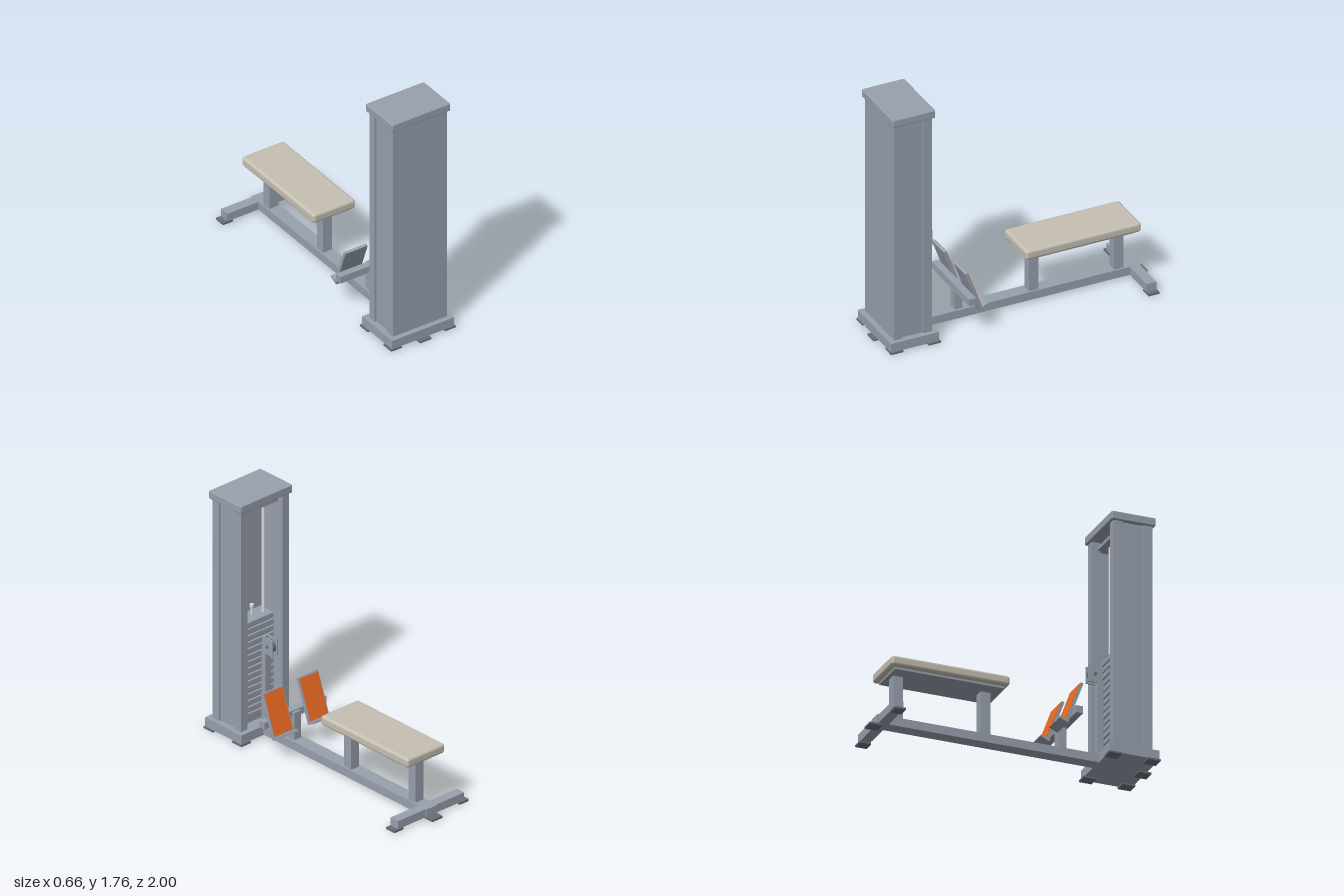
import * as THREE from 'three';
import { RoundedBoxGeometry } from 'three/addons/geometries/RoundedBoxGeometry.js';

const mat = (name, color) => new THREE.MeshStandardMaterial({ name, color });

export function createModel() {
  const steel = mat('steel grey', 0x98a0ad);
  const dark = mat('dark grey', 0x676d77);
  const chrome = mat('chrome', 0xd8dce0);
  const cream = mat('cream upholstery', 0xc6bfb2);
  const orange = mat('orange tread', 0xec6a22);
  const root = new THREE.Group();
  root.name = 'seatedRowMachine';

  const add = (name, geo, m, parent = root) => {
    const mesh = new THREE.Mesh(geo, m);
    mesh.name = name;
    parent.add(mesh);
    return mesh;
  };
  // Box given by its extents on each axis, optionally rounded
  const box = (name, m, [x0, x1], [y0, y1], [z0, z1], r = 0, parent = root) => {
    const s = [x1 - x0, y1 - y0, z1 - z0];
    const g = r ? new RoundedBoxGeometry(...s, 3, r) : new THREE.BoxGeometry(...s);
    g.translate((x0 + x1) / 2, (y0 + y1) / 2, (z0 + z1) / 2);
    return add(name, g, m, parent);
  };
  // The same box on both sides of the machine
  const pair = (name, m, [x0, x1], y, z) => {
    box(name + 'Left', m, [x0, x1], y, z);
    box(name + 'Right', m, [-x1, -x0], y, z);
  };
  const rod = (name, m, r, x, y0, y1, z) => {
    const g = new THREE.CylinderGeometry(r, r, y1 - y0, 16);
    g.translate(x, (y0 + y1) / 2, z);
    return add(name, g, m);
  };

  // Base frame
  box('towerBase', steel, [-0.245, 0.245], [0.012, 0.078], [0.62, 0.97]);
  box('mainBeam', steel, [-0.048, 0.048], [0.015, 0.075], [-0.95, 0.62]);
  box('rearCrossbar', steel, [-0.295, 0.295], [0.015, 0.074], [-0.94, -0.868]);

  // Floor feet
  pair('towerFrontFoot', dark, [0.17, 0.255], [0, 0.012], [0.885, 0.975]);
  pair('towerRearFoot', dark, [0.17, 0.255], [0, 0.012], [0.61, 0.7]);
  pair('rearFoot', dark, [0.25, 0.33], [0, 0.015], [-0.945, -0.865]);
  box('frontCentreFoot', dark, [-0.045, 0.045], [0, 0.012], [0.91, 1]);
  box('rearCentreFoot', dark, [-0.045, 0.045], [0, 0.015], [-1, -0.91]);

  // Tower shell, open at the back
  box('frontPanel', steel, [-0.213, 0.213], [0.075, 1.7], [0.87, 0.932]);
  pair('sidePanel', steel, [0.18, 0.2], [0.075, 1.7], [0.72, 0.87]);
  pair('rearPost', steel, [0.155, 0.213], [0.075, 1.7], [0.658, 0.72]);
  box('towerCap', steel, [-0.23, 0.23], [1.698, 1.757], [0.64, 0.95], 0.008);
  box('topRail', steel, [-0.18, 0.18], [1.64, 1.665], [0.7, 0.87]);

  // Weight stack with guide rods and selector
  const plates = 15, pitch = 0.048;
  for (let i = 0; i < plates; i++) {
    const y = 0.11 + i * pitch;
    box('weightPlate' + (i + 1), steel, [-0.13, 0.13], [y, y + pitch - 0.004], [0.71, 0.84], 0.008);
  }
  box('stackCore', steel, [-0.12, 0.12], [0.075, 0.82], [0.72, 0.83]);
  for (const s of [-1, 1]) rod('guideRod', chrome, 0.012, s * 0.08, 0.8, 1.7, 0.76);
  rod('selectorStem', chrome, 0.009, 0, 0.82, 0.88, 0.785);
  rod('selectorKnob', chrome, 0.015, 0, 0.88, 0.9, 0.785);

  // Low pulley column, bracket and wheel
  box('pulleyColumn', steel, [-0.025, 0.025], [0.075, 0.61], [0.625, 0.665]);
  pair('pulleyBracket', steel, [0.017, 0.025], [0.6, 0.72], [0.56, 0.66]);
  box('bracketBack', steel, [-0.025, 0.025], [0.6, 0.72], [0.645, 0.66]);
  const wheel = new THREE.CylinderGeometry(0.045, 0.045, 0.022, 24);
  wheel.rotateZ(Math.PI / 2).translate(0, 0.66, 0.608);
  add('pulleyWheel', wheel, dark);
  const axle = new THREE.CylinderGeometry(0.012, 0.012, 0.058, 12);
  axle.rotateZ(Math.PI / 2).translate(0, 0.66, 0.608);
  add('pulleyAxle', axle, dark);

  // Foot rest: post, crossbar and two tilted plates with heel lips
  box('footRestPost', steel, [-0.03, 0.03], [0.075, 0.275], [0.343, 0.4]);
  box('footRestBar', steel, [-0.275, 0.275], [0.232, 0.283], [0.364, 0.415]);
  for (const s of [-1, 1]) {
    const rest = new THREE.Group();
    rest.name = s > 0 ? 'footPlateLeft' : 'footPlateRight';
    rest.position.set(s * 0.158, 0.165, 0.312);
    rest.rotation.x = Math.atan2(0.11, 0.3);
    box('plate', steel, [-0.088, 0.088], [0, 0.32], [-0.011, 0.009], 0, rest);
    box('tread', orange, [-0.08, 0.08], [0.02, 0.312], [-0.015, -0.011], 0, rest);
    const lip = box('heelLip', steel, [-0.088, 0.088], [0, 0.016], [-0.058, 0.009], 0, rest);
    lip.rotation.x = 0.08;
    root.add(rest);
  }

  // Bench
  [[-0.21, -0.14], [-0.83, -0.76]].forEach((z, i) =>
    box(i ? 'rearSeatPost' : 'frontSeatPost', steel, [-0.035, 0.035], [0.075, 0.385], z));
  box('seatPlate', steel, [-0.135, 0.135], [0.38, 0.397], [-0.86, -0.085]);
  box('seatCushion', cream, [-0.167, 0.167], [0.395, 0.465], [-0.895, -0.055], 0.02);

  return root;
}
